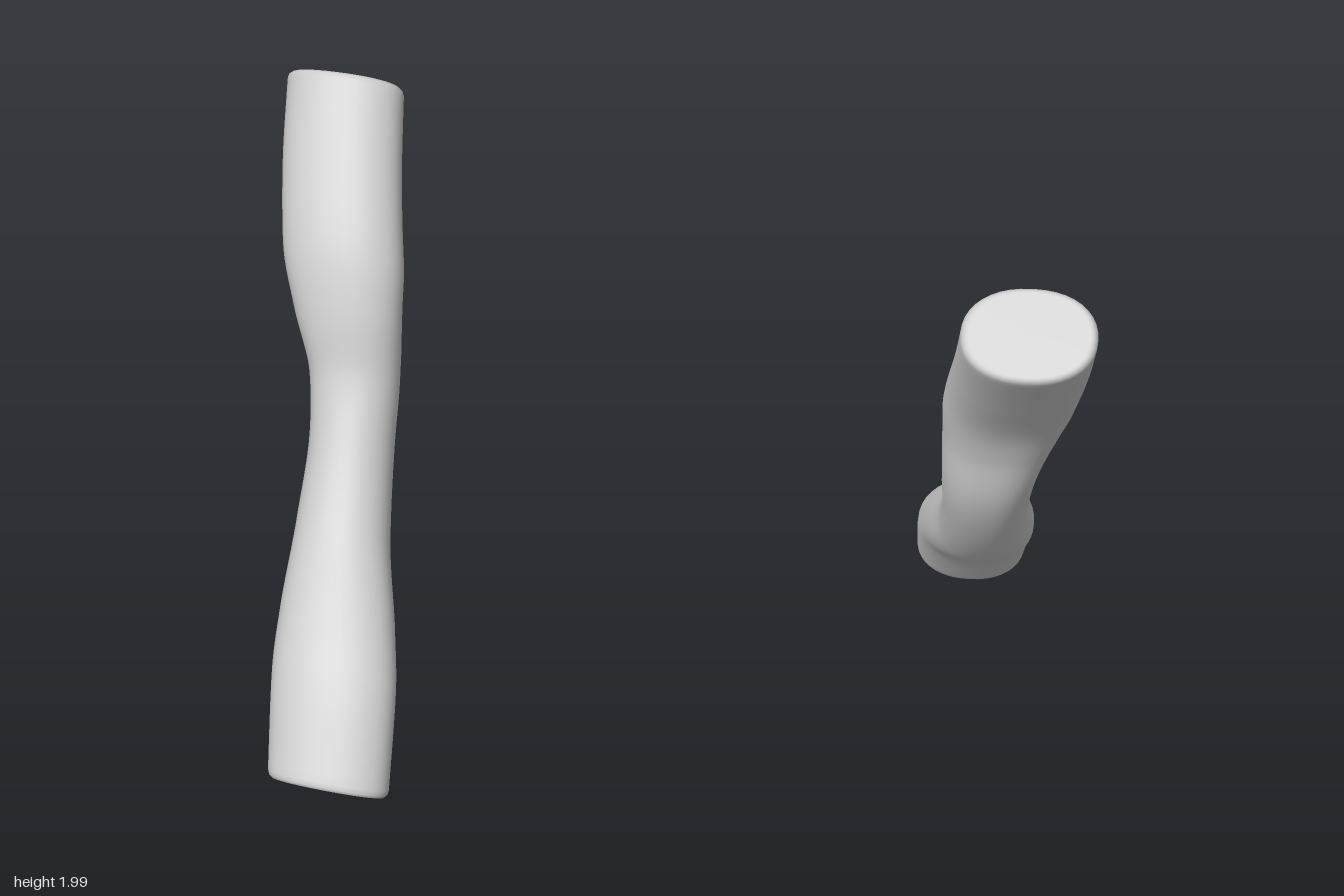
import * as THREE from 'three';

// Stations along the bent tube: centre x, y, z, half width (along x), half depth
const STATIONS = [
  [0.155, 0.087, 0.678, 0.198, 0.142],
  [0.115, 0.35, 0.47, 0.205, 0.143],
  [0.08, 0.495, 0.30, 0.19, 0.15],
  [0.04, 0.66, 0.10, 0.158, 0.15],
  [0.015, 0.905, -0.10, 0.14, 0.15],
  [-0.01, 1.105, -0.215, 0.15, 0.146],
  [-0.05, 1.305, -0.27, 0.18, 0.14],
  [-0.085, 1.47, -0.34, 0.2, 0.14],
  [-0.133, 1.69, -0.495, 0.198, 0.142],
  [-0.17, 1.913, -0.668, 0.193, 0.142],
];
const SIDES = 40;
const RINGS = 60;

// Signed power, for a slightly squared oval
const power = (v, e) => Math.sign(v) * Math.abs(v) ** e;

function tubeGeometry() {
  const path = new THREE.CatmullRomCurve3(STATIONS.map(([x, y, z]) => new THREE.Vector3(x, y, z)));
  const size = new THREE.CatmullRomCurve3(STATIONS.map(([, , , w, d]) => new THREE.Vector3(w, d, 0)));

  // Ring list [t, scale]: flat cap, softened rim, body, rim, cap
  const start = [[0, 0], [0, 0.5], [0, 0.88], [0, 0.93], [0.003, 0.98], [0.008, 1]];
  const rings = [...start];
  for (let i = 1; i < RINGS; i++) rings.push([i / RINGS, 1]);
  rings.push(...start.map(([t, s]) => [1 - t, s]).reverse());

  const positions = [];
  const index = [];
  rings.forEach(([t, scale], r) => {
    const c = path.getPoint(t);
    const s = size.getPoint(t);
    const d = path.getTangent(t);
    const len = Math.hypot(d.y, d.z);
    for (let k = 0; k < SIDES; k++) {
      const a = (k / SIDES) * Math.PI * 2;
      const u = power(Math.cos(a), 0.9) * s.x * scale;
      const v = power(Math.sin(a), 0.9) * s.y * scale;
      positions.push(c.x + u, c.y - (v * d.z) / len, c.z + (v * d.y) / len);
      if (r < rings.length - 1) {
        const p = r * SIDES + k;
        const q = r * SIDES + ((k + 1) % SIDES);
        index.push(p, p + SIDES, q, q, p + SIDES, q + SIDES);
      }
    }
  });

  const geometry = new THREE.BufferGeometry();
  geometry.setAttribute('position', new THREE.Float32BufferAttribute(positions, 3));
  geometry.setIndex(index);
  geometry.computeVertexNormals();
  return geometry;
}

export function createModel() {
  const group = new THREE.Group();
  const tube = new THREE.Mesh(tubeGeometry(), new THREE.MeshStandardMaterial({ color: 0xcccccc }));
  tube.name = 'bentTube';
  group.add(tube);
  return group;
}
